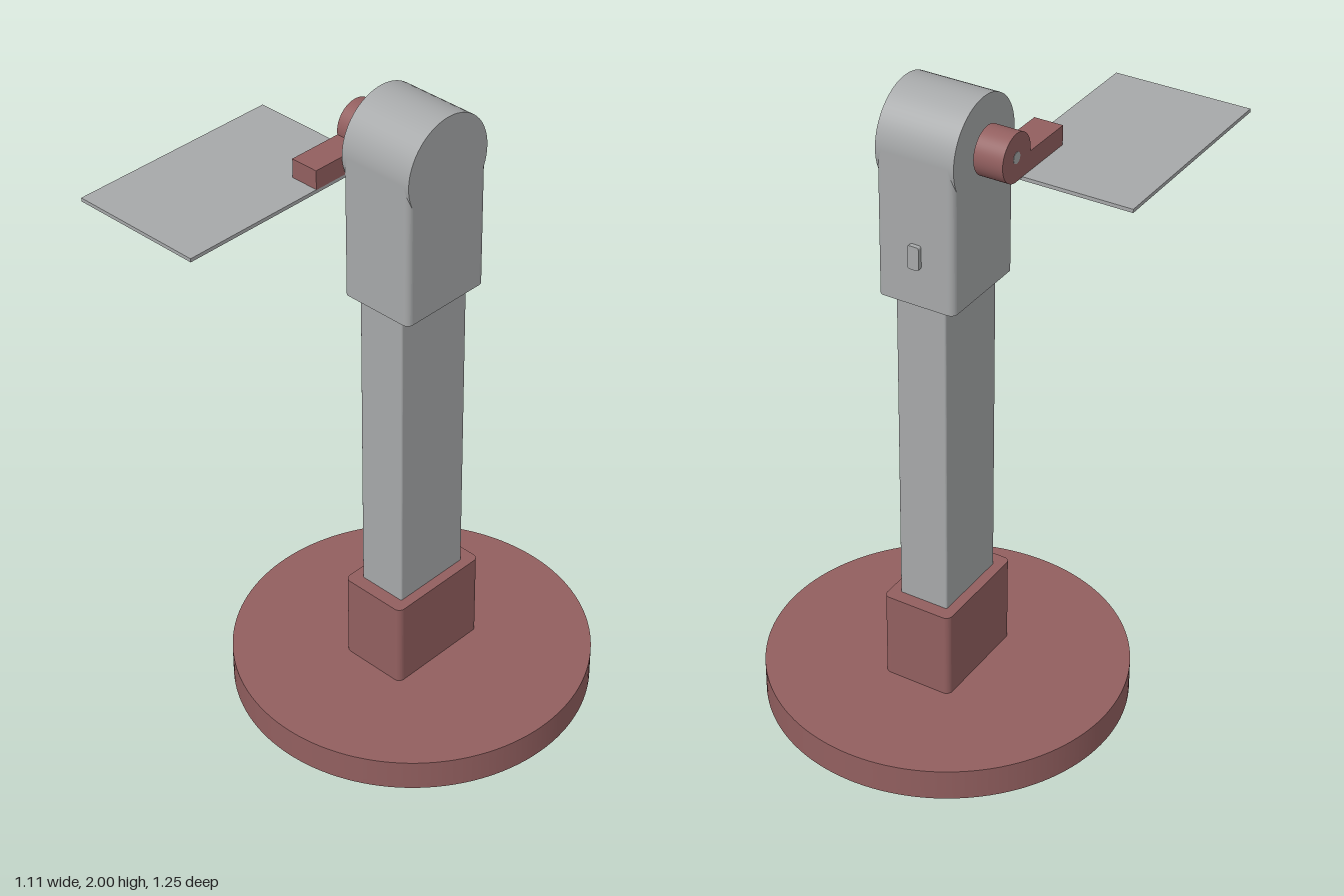
import * as THREE from 'three';

const steel = new THREE.MeshStandardMaterial({ color: 0xa6a8a9 });
steel.name = 'satin grey';
const red = new THREE.MeshStandardMaterial({ color: 0x925f5f });
red.name = 'dusty red';

const AXIS_Z = -0.077; // depth of the stand's centre line
const PIVOT_Y = 1.845; // height of the hinge

export function createModel() {
  const model = new THREE.Group();
  model.name = 'deskStand';

  const add = (name, geometry, material, x = 0, y = 0, z = 0) => {
    const mesh = new THREE.Mesh(geometry, material);
    mesh.name = name;
    mesh.position.set(x, y, z);
    model.add(mesh);
    return mesh;
  };

  // Box given by its limits on each axis
  const block = (name, material, [x0, x1], [y0, y1], [z0, z1]) =>
    add(name, new THREE.BoxGeometry(x1 - x0, y1 - y0, z1 - z0), material,
      (x0 + x1) / 2, (y0 + y1) / 2, (z0 + z1) / 2);

  // Upright prism with rounded vertical edges
  const roundedPost = (name, material, w, d, r, y0, y1, x = 0) => {
    const a = w / 2, b = d / 2;
    const s = new THREE.Shape();
    s.moveTo(-a + r, -b);
    s.lineTo(a - r, -b);
    s.absarc(a - r, -b + r, r, -Math.PI / 2, 0);
    s.absarc(a - r, b - r, r, 0, Math.PI / 2);
    s.absarc(-a + r, b - r, r, Math.PI / 2, Math.PI);
    s.absarc(-a + r, -b + r, r, Math.PI, Math.PI * 1.5);
    const g = new THREE.ExtrudeGeometry(s, { depth: y1 - y0, bevelEnabled: false, curveSegments: 6 });
    g.rotateX(-Math.PI / 2);
    return add(name, g, material, x, y0, AXIS_Z);
  };

  // Cylinder lying along x
  const drum = (name, material, radius, x0, x1, z) => {
    const g = new THREE.CylinderGeometry(radius, radius, x1 - x0, 64);
    g.rotateZ(Math.PI / 2);
    return add(name, g, material, (x0 + x1) / 2, PIVOT_Y, z);
  };

  // Round foot with a shallow recess holding a pad
  const foot = new THREE.Shape().absarc(0, 0, 0.55, 0, Math.PI * 2);
  foot.holes.push(new THREE.Path().absarc(0, 0, 0.44, 0, Math.PI * 2, true));
  const rim = new THREE.ExtrudeGeometry(foot, { depth: 0.02, bevelEnabled: false, curveSegments: 64 });
  rim.rotateX(-Math.PI / 2);
  add('baseRim', rim, red, 0, 0, AXIS_Z);
  add('base', new THREE.CylinderGeometry(0.55, 0.55, 0.08, 128), red, 0, 0.06, AXIS_Z);
  add('basePad', new THREE.CylinderGeometry(0.43, 0.43, 0.018, 96), steel, 0, 0.012, AXIS_Z);

  // Socket and column
  roundedPost('socket', red, 0.225, 0.348, 0.02, 0.1, 0.38);
  roundedPost('column', steel, 0.16, 0.264, 0.006, 0.38, 1.4);

  // Head: rounded housing below, drum on top
  roundedPost('headHousing', steel, 0.245, 0.31, 0.02, 1.4, PIVOT_Y, 0.002);
  drum('headDrum', steel, 0.155, -0.1205, 0.1245, AXIS_Z);

  // Switch on the back
  const key = new THREE.Shape();
  key.moveTo(-0.018, -0.028);
  key.quadraticCurveTo(-0.018, -0.036, -0.01, -0.036);
  key.lineTo(0.01, -0.036);
  key.quadraticCurveTo(0.018, -0.036, 0.018, -0.028);
  key.lineTo(0.018, 0.028);
  key.quadraticCurveTo(0.018, 0.036, 0.01, 0.036);
  key.lineTo(-0.01, 0.036);
  key.quadraticCurveTo(-0.018, 0.036, -0.018, 0.028);
  add('switch', new THREE.ExtrudeGeometry(key, { depth: 0.03, bevelEnabled: false }), steel, 0, 1.555, -0.246);

  // Hinge: pin, knob and arm
  drum('hingePin', steel, 0.017, -0.221, -0.11, AXIS_Z);
  drum('hingeKnob', red, 0.072, -0.22, -0.13, AXIS_Z);
  block('hingeArm', red, [-0.22, -0.13], [1.774, 1.834], [AXIS_Z, 0.167]);

  // Flat tray with a thinner pad beneath
  block('tray', steel, [-0.556, -0.13], [1.764, 1.775], [-0.047, 0.627]);
  block('trayPad', steel, [-0.463, -0.22], [1.753, 1.764], [0.17, 0.412]);

  return model;
}
